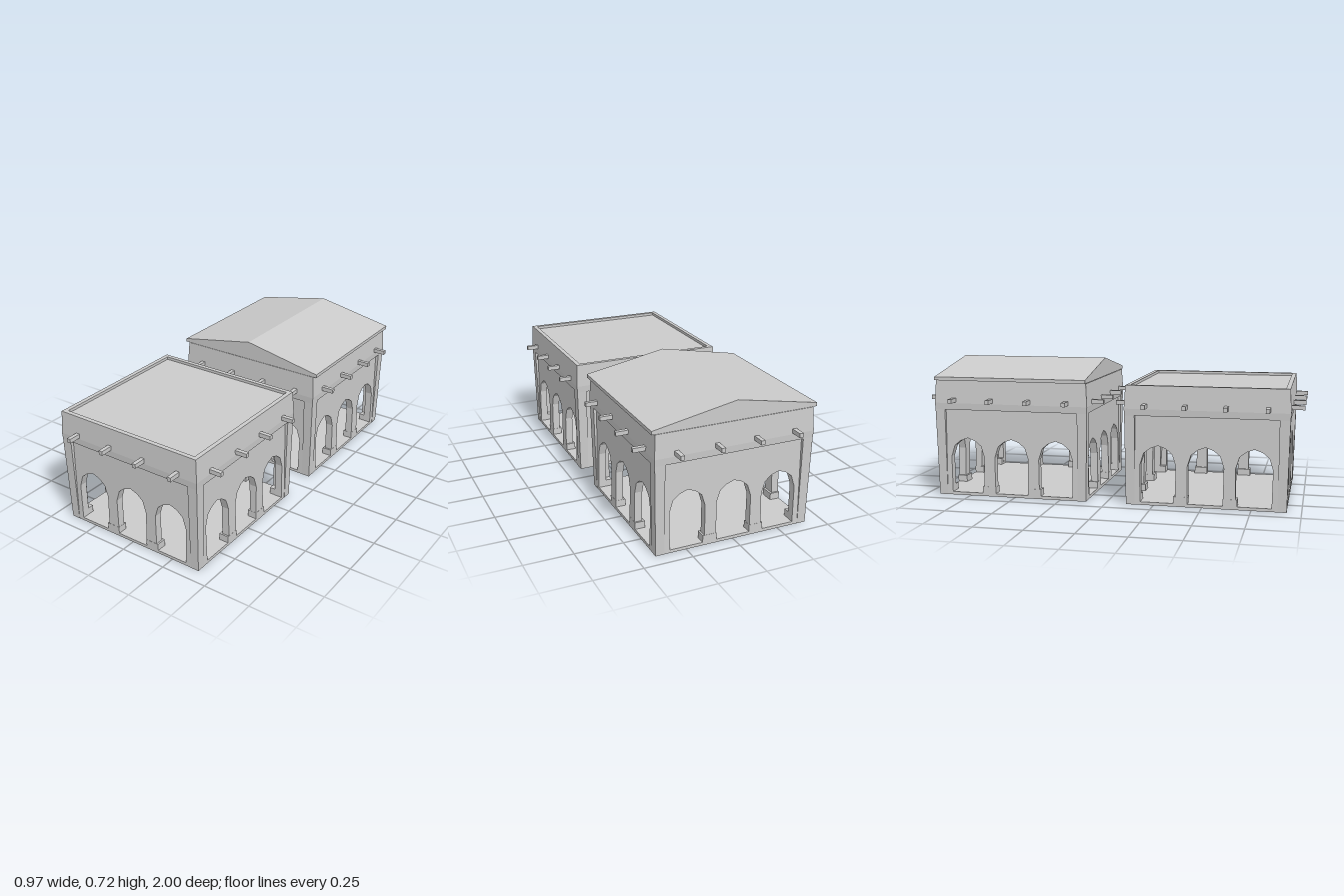
import * as THREE from 'three';

const material = new THREE.MeshStandardMaterial({ color: 0xcccccc, flatShading: true });

function add(parent, geometry, name, x = 0, y = 0, z = 0) {
  const mesh = new THREE.Mesh(geometry, material);
  mesh.name = name;
  mesh.position.set(x, y, z);
  parent.add(mesh);
  return mesh;
}

const box = (w, h, d) => new THREE.BoxGeometry(w, h, d);

// Square rings lofted along a profile of [half width, height]
function squareLoft(profile) {
  const points = profile.map(([h, y]) => new THREE.Vector2(h * Math.SQRT2, y));
  const geometry = new THREE.LatheGeometry(points, 4, Math.PI / 4).toNonIndexed();
  geometry.computeVertexNormals();
  return geometry;
}

// Wall panel with three arches, leaning slightly inward with height
function archedWall() {
  const shape = new THREE.Shape([[-0.37, 0], [0.37, 0], [0.37, 0.468], [-0.37, 0.468]]
    .map(([x, y]) => new THREE.Vector2(x, y)));
  const half = [[0.09, 0.016], [0.091, 0.055], [0.093, 0.21], [0.074, 0.27], [0.041, 0.297]];
  for (const c of [-0.245, 0, 0.245]) {
    const right = half.map(([x, y]) => new THREE.Vector2(c + x, y));
    const left = half.map(([x, y]) => new THREE.Vector2(c - x, y)).reverse();
    shape.holes.push(new THREE.Path([...right, new THREE.Vector2(c, 0.312), ...left]));
  }
  const geometry = new THREE.ExtrudeGeometry(shape, { depth: 0.04, bevelEnabled: false });
  geometry.translate(0, 0, 0.369);
  const p = geometry.attributes.position;
  for (let i = 0; i < p.count; i++) p.setZ(i, p.getZ(i) - p.getY(i) * 0.017);
  geometry.computeVertexNormals();
  return geometry;
}

// Corner post whose outer faces flare toward the top
function cornerPost() {
  const geometry = box(0.045, 0.466, 0.045).toNonIndexed();
  geometry.translate(0.3875, 0.233, 0.3875);
  const p = geometry.attributes.position;
  for (let i = 0; i < p.count; i++) {
    if (p.getY(i) < 0.1) continue;
    if (p.getX(i) > 0.4) p.setX(i, 0.418);
    if (p.getZ(i) > 0.4) p.setZ(i, 0.418);
  }
  geometry.computeVertexNormals();
  return geometry;
}

// One facade: arches, plinths and projecting beam ends
function facade() {
  const side = new THREE.Group();
  side.name = 'facade';
  add(side, archedWall(), 'archedWall');
  for (const s of [-1, 1]) {
    add(side, box(0.073, 0.052, 0.052), 'pierPlinth', s * 0.1265, 0.026, 0.383);
    for (const x of [0.103, 0.31]) {
      add(side, box(0.021, 0.022, 0.085), 'beamEnd', s * x, 0.517, 0.4405);
    }
  }
  return side;
}

function house(name, gabled) {
  const group = new THREE.Group();
  group.name = name;
  add(group, box(0.816, 0.013, 0.816), 'floor', 0, 0.0095, 0);

  for (let i = 0; i < 4; i++) {
    const side = facade();
    side.rotation.y = i * Math.PI / 2;
    group.add(side);
    add(side, cornerPost(), 'cornerPost');
    add(side, box(0.072, 0.052, 0.072), 'cornerPlinth', 0.372, 0.026, 0.372);
  }

  // Bulging upper band, with ceiling inside and a rim around the flat roof
  const band = [[0, 0.59], [0.365, 0.59], [0.365, 0.465], [0.418, 0.465], [0.42, 0.5], [0.413, 0.62]];
  const top = gabled ? [[0, 0.62]] : [[0.39, 0.62], [0.39, 0.605], [0, 0.605]];
  add(group, squareLoft([...band, ...top]), 'upperBand');

  // Low gable with eaves on the two long sides
  if (gabled) {
    const outline = new THREE.Shape([[-0.432, 0.622], [0.432, 0.622], [0.432, 0.64], [0, 0.722], [-0.432, 0.64]]
      .map(([x, y]) => new THREE.Vector2(x, y)));
    const roof = new THREE.ExtrudeGeometry(outline, { depth: 0.828, bevelEnabled: false });
    add(group, roof, 'gableRoof', 0, 0, -0.414);
  }
  return group;
}

export function createModel() {
  const model = new THREE.Group();
  model.name = 'arcadedHouses';
  const front = house('flatRoofHouse', false);
  const back = house('gableRoofHouse', true);
  front.position.z = 0.517;
  back.position.z = -0.517;
  model.add(front, back);
  return model;
}
